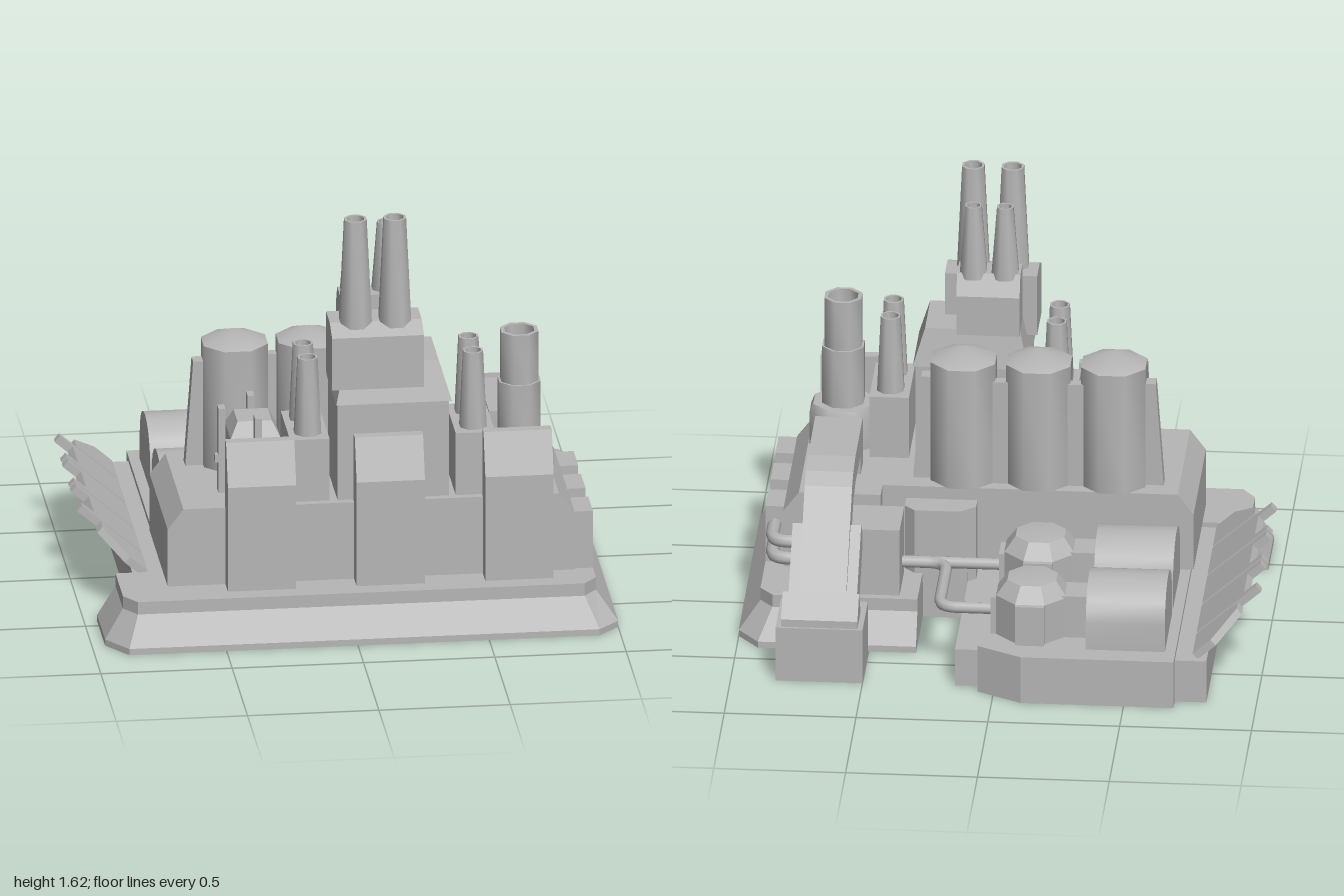
import * as THREE from 'three';
import { toCreasedNormals } from 'three/addons/utils/BufferGeometryUtils.js';

const concrete = new THREE.MeshStandardMaterial({ color: 0xb6b6b6, side: THREE.DoubleSide });
concrete.name = 'grey concrete';

export function createModel() {
  const group = new THREE.Group();

  function add(name, geo) {
    const mesh = new THREE.Mesh(geo, concrete);
    mesh.name = name;
    group.add(mesh);
    return mesh;
  }
  // Box given by its limits
  function box(name, x0, x1, y0, y1, z0, z1) {
    const g = new THREE.BoxGeometry(x1 - x0, y1 - y0, z1 - z0);
    return add(name, g.translate((x0 + x1) / 2, (y0 + y1) / 2, (z0 + z1) / 2));
  }
  const toShape = (pts) => new THREE.Shape(pts.map(([a, b]) => new THREE.Vector2(a, b)));
  const extrude = (pts, depth) =>
    new THREE.ExtrudeGeometry(toShape(pts), { depth, bevelEnabled: false });
  // Profile of [z, y] swept along x
  function alongX(name, pts, x0, x1) {
    return add(name, extrude(pts, x1 - x0).rotateY(-Math.PI / 2).translate(x1, 0, 0));
  }
  // Profile of [x, y] swept along z
  function alongZ(name, pts, z0, z1) {
    return add(name, extrude(pts, z1 - z0).translate(0, 0, z0));
  }
  // Hollow shell through rings of [x, z] points, closed on top, open below
  function shell(name, levels) {
    const pos = [];
    const put = (y, p) => pos.push(p[0], y, p[1]);
    for (let k = 0; k + 1 < levels.length; k++) {
      const [ya, a] = levels[k], [yb, b] = levels[k + 1];
      for (let i = 0; i < a.length; i++) {
        const j = (i + 1) % a.length;
        put(ya, a[i]); put(ya, a[j]); put(yb, b[j]);
        put(ya, a[i]); put(yb, b[j]); put(yb, b[i]);
      }
    }
    const [y, top] = levels[levels.length - 1];
    const flat = top.map(([x, z]) => new THREE.Vector2(x, -z));
    for (const t of THREE.ShapeUtils.triangulateShape(flat, [])) t.forEach((i) => put(y, top[i]));
    const g = new THREE.BufferGeometry();
    g.setAttribute('position', new THREE.Float32BufferAttribute(pos, 3));
    g.computeVertexNormals();
    return add(name, g);
  }
  const rect = (x0, x1, z0, z1) => [[x0, z1], [x1, z1], [x1, z0], [x0, z0]];
  // Turned part from [radius, y] points
  function turned(name, pts, x, z, sides = 8, crease = 0.9) {
    const g = new THREE.LatheGeometry(pts.map(([r, y]) => new THREE.Vector2(r, y)), sides);
    g.rotateY(Math.PI / 8);
    return add(name, toCreasedNormals(g, crease).translate(x, 0, z));
  }
  // Tapered stack with a bored top
  function chimney(name, x, z, r0, r1, y0, y1) {
    turned(name, [[r0, y0], [r1, y1], [r1 * 0.78, y1], [r1 * 0.7, y1 - 0.12], [0, y1 - 0.12]], x, z);
  }
  function pipe(name, pts, r = 0.023) {
    const path = new THREE.CurvePath();
    const v = pts.map((p) => new THREE.Vector3(...p));
    let from = v[0];
    for (let i = 1; i < v.length - 1; i++) {
      const d = 0.07;
      const a = v[i].clone().add(v[i - 1].clone().sub(v[i]).setLength(d));
      const b = v[i].clone().add(v[i + 1].clone().sub(v[i]).setLength(d));
      path.add(new THREE.LineCurve3(from, a));
      path.add(new THREE.QuadraticBezierCurve3(a, v[i], b));
      from = b;
    }
    path.add(new THREE.LineCurve3(from, v[v.length - 1]));
    add(name, new THREE.TubeGeometry(path, 40, r, 8));
  }

  // Sloped base skirt
  const foot = [[-0.95, 0.45], [-0.95, 0.71], [-0.87, 0.82], [0.92, 0.82], [1, 0.74],
    [1, -0.3], [0.92, -0.4], [0.32, -0.4], [0.32, 0.45]];
  const rim = [[-0.88, 0.45], [-0.88, 0.69], [-0.83, 0.76], [0.87, 0.76], [0.92, 0.7],
    [0.92, -0.27], [0.87, -0.33], [0.32, -0.33], [0.32, 0.45]];
  shell('baseSkirt', [[0, foot], [0.025, foot], [0.14, rim], [0.19, rim]]);

  // Rear yard platform with its side ledges
  const yard = [[-0.69, 0.45], [0.06, 0.45], [0.06, -0.73], [-0.11, -0.82], [-0.69, -0.82]];
  shell('rearPlatform', [[0, yard], [0.19, yard]]);
  const ledge = rect(-0.81, -0.69, -0.76, 0.45);
  shell('panelLedge', [[0, ledge], [0.17, ledge]]);
  const step = rect(0.06, 0.15, -0.68, 0.45);
  shell('rearStep', [[0, step], [0.15, step]]);
  box('centreFloor', 0.15, 0.32, 0, 0.19, -0.07, 0.45);

  // Main hall with chamfered shoulders
  alongZ('mainHall', [[-0.7, 0.19], [0.85, 0.19], [0.85, 0.42], [0.79, 0.5], [-0.64, 0.5], [-0.7, 0.42]], 0.02, 0.61);
  alongZ('hallExtension', [[0.48, 0.19], [0.85, 0.19], [0.85, 0.42], [0.79, 0.5], [0.48, 0.5]], -0.07, 0.02);
  for (const z of [-0.03, 0.21, 0.45]) box('sideCabinet', 0.84, 0.92, 0.19, 0.42, z, z + 0.15);

  // Front buttresses
  for (const x of [-0.48, 0.01, 0.5]) {
    alongX('frontButtress', [[0.59, 0.19], [0.69, 0.19], [0.69, 0.61], [0.63, 0.77], [0.59, 0.77]], x, x + 0.26);
  }

  // Central tower with stepped roof
  box('towerBody', -0.05, 0.375, 0.5, 0.89, 0.27, 0.58);
  shell('towerRoof', [[0.885, rect(-0.055, 0.385, 0.265, 0.585)], [1.035, rect(-0.02, 0.34, 0.29, 0.54)]]);
  alongX('frontStackHouse', [[0.42, 0.96], [0.62, 0.96], [0.62, 1.17], [0.54, 1.205], [0.42, 1.205]], -0.075, 0.275);
  alongX('rearStackHouse', [[0.27, 1.02], [0.41, 1.02], [0.41, 1.26], [0.31, 1.26], [0.27, 1.18]], -0.02, 0.22);
  for (const x of [0.025, 0.175]) chimney('tallChimney', x, 0.52, 0.066, 0.045, 1.18, 1.615);
  for (const x of [0.04, 0.16]) chimney('rearChimney', x, 0.34, 0.056, 0.033, 1.24, 1.53);

  // Side stacks in pairs
  for (const x of [-0.155, 0.475]) {
    box('sideStackHouse', x - 0.075, x + 0.075, 0.5, 0.75, 0.27, 0.58);
    for (const z of [0.35, 0.5]) chimney('sideChimney', x, z, 0.055, 0.04, 0.74, 1.055);
  }

  // Stepped round tower
  turned('roundTower', [[0.135, 0.5], [0.135, 0.63], [0.12, 0.665], [0.085, 0.665], [0.085, 0.9],
    [0.076, 0.9], [0.076, 1.1], [0.06, 1.1], [0.055, 0.95], [0, 0.95]], 0.66, 0.42);

  // Storage silos with conical roofs and ladder fins
  for (const x of [-0.39, -0.105, 0.18]) {
    turned('silo', [[0.132, 0.5], [0.132, 0.99], [0, 1.04]], x, 0.13, 8, 0.8);
  }
  for (const x of [-0.247, 0.038]) box('siloBridge', x - 0.04, x + 0.04, 0.5, 0.92, 0.07, 0.11);
  alongZ('siloFin', [[-0.58, 0.5], [-0.5, 0.5], [-0.5, 0.92], [-0.55, 0.92]], 0.1, 0.155);
  alongZ('siloFin', [[0.37, 0.5], [0.29, 0.5], [0.29, 0.92], [0.34, 0.92]], 0.1, 0.155);

  // Square vent house with corner posts
  shell('ventHouse', [[0.5, rect(-0.45, -0.26, 0.33, 0.52)], [0.74, rect(-0.45, -0.26, 0.33, 0.52)],
    [0.8, rect(-0.42, -0.29, 0.36, 0.49)]]);
  for (const [x, z] of [[-0.475, 0.43], [-0.35, 0.305], [-0.35, 0.55]]) {
    box('ventPost', x - 0.013, x + 0.013, 0.5, 0.84, z - 0.025, z + 0.025);
  }
  box('ventArm', -0.5, -0.44, 0.62, 0.65, 0.415, 0.445);
  box('ventArm', -0.363, -0.337, 0.62, 0.65, 0.28, 0.58);

  // Rear cabinet with cut corners
  const cab = [[0.12, 0.03], [0.39, 0.03], [0.39, -0.05], [0.35, -0.09], [0.18, -0.09], [0.12, -0.04]];
  shell('rearCabinet', [[0.15, cab], [0.45, cab]]);

  // Conveyor duct, its pump house, sleeve and bin
  alongX('conveyorDuct', [[0.21, 0.5], [0.21, 0.69], [-0.14, 0.69], [-0.24, 0.67], [-0.3, 0.635], [-0.62, 0.28],
    [-0.62, 0.2], [-0.56, 0.2], [-0.24, 0.55], [-0.14, 0.58], [0.11, 0.58], [0.11, 0.5]], 0.57, 0.75);
  alongX('ductSleeve', [[-0.28, 0.42], [-0.37, 0.51], [-0.59, 0.29], [-0.58, 0.2], [-0.5, 0.2]], 0.53, 0.79);
  box('pumpHouse', 0.39, 0.76, 0.19, 0.46, -0.3, -0.08);
  box('bin', 0.5, 0.83, 0, 0.22, -0.69, -0.43);
  alongX('binHood', [[-0.52, 0.22], [-0.6, 0.33], [-0.68, 0.25], [-0.68, 0.22]], 0.52, 0.81);
  for (const y of [0.28, 0.35]) {
    pipe('elbowPipe', [[0.72, y, -0.19], [0.885, y, -0.19], [0.885, y, -0.04]], 0.026);
  }

  // Barrel-roofed sheds with octagonal vessels
  for (const z of [-0.56, -0.165]) {
    const roof = [[z - 0.17, 0.19], [z + 0.17, 0.19]];
    for (let i = 0; i <= 10; i++) {
      const a = (i / 10) * Math.PI;
      roof.push([z + 0.17 * Math.cos(a), 0.3 + 0.135 * Math.sin(a)]);
    }
    const shed = alongX('barrelShed', roof, -0.65, -0.35);
    shed.geometry = toCreasedNormals(shed.geometry, 0.6);
    box('shedCoupling', -0.36, -0.25, 0.19, 0.36, z - 0.065, z + 0.065);
    turned('vessel', [[0.145, 0.19], [0.145, 0.35], [0.1, 0.41], [0, 0.42]], -0.135, z, 8, 0.4);
    box('vesselLug', -0.19, -0.08, 0.19, 0.35, z - 0.155, z + 0.155);
    box('vesselOutlet', -0.02, 0.02, 0.19, 0.34, z - 0.055, z + 0.055);
  }
  pipe('longPipe', [[0, 0.27, -0.56], [0.22, 0.27, -0.56], [0.22, 0.27, -0.165], [0.42, 0.27, -0.165]]);
  pipe('straightPipe', [[0, 0.27, -0.16], [0.42, 0.27, -0.16]]);

  // Tilted side panels, notched in the middle and cut at the ends
  const tilt = 0.72, c = Math.cos(tilt), s = Math.sin(tilt);
  const frame = new THREE.Matrix4().makeBasis(new THREE.Vector3(-c, s, 0),
    new THREE.Vector3(0, 0, 1), new THREE.Vector3(s, c, 0)).setPosition(-0.775, 0.165, 0);
  function panel(pts) {
    add('tiltedPanel', extrude(pts, 0.03).applyMatrix4(frame));
  }
  for (const z of [-0.53, -0.27, -0.01]) {
    panel([[0, z], [0.3, z], [0.3, z + 0.035], [0.235, z + 0.035], [0.235, z + 0.205],
      [0.3, z + 0.205], [0.3, z + 0.24], [0, z + 0.24]]);
  }
  for (const m of [1, -1]) {
    panel([[0, 0.4], [0.21, 0.4], [0.21, 0.46], [0.09, 0.58], [0, 0.58]].map(([u, v]) => [u, -0.15 + m * v]));
  }

  return group;
}
